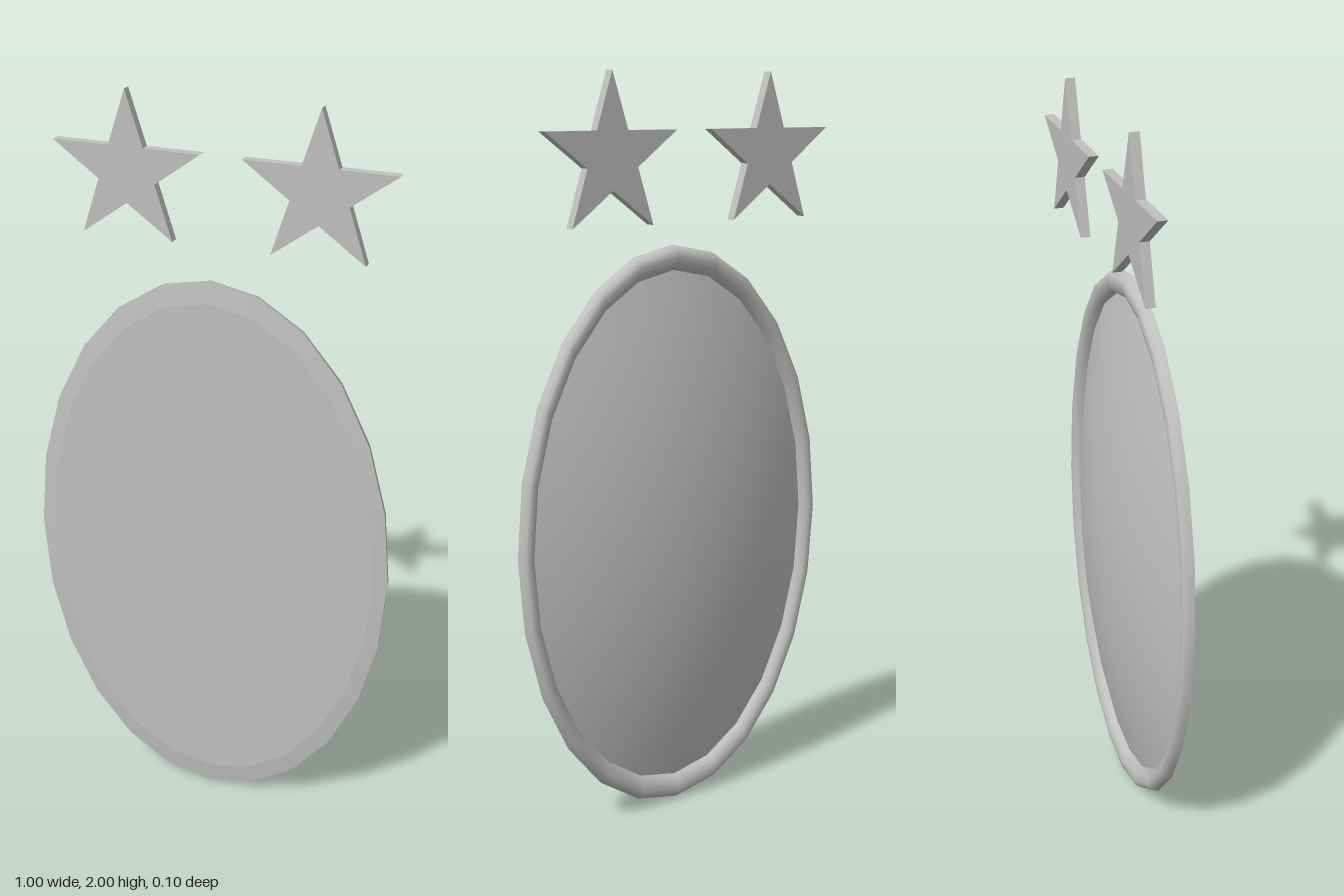
import * as THREE from 'three';

const SIDES = 24;
const CENTRE_Y = 0.78;
const STRETCH = 0.775 / 0.5;

export function createModel() {
  const model = new THREE.Group();
  const grey = new THREE.MeshStandardMaterial({ color: 0xc0c0c0 });
  grey.name = 'plain grey';

  const add = (name, geometry) => {
    const mesh = new THREE.Mesh(geometry, grey);
    mesh.name = name;
    model.add(mesh);
    return mesh;
  };

  // Oval turned part; profile is [radius, z], running from the front to the back
  const oval = (name, profile) => {
    const points = profile.map(([r, z]) => new THREE.Vector2(r, -z));
    const geometry = new THREE.LatheGeometry(points, SIDES);
    geometry.rotateX(-Math.PI / 2);
    geometry.scale(1, STRETCH, 1);
    geometry.translate(0, CENTRE_Y, 0);
    return add(name, geometry);
  };

  // Flat front face and its shallow bevel
  oval('frontFace', [[0, 0.052], [0.462, 0.052]]);
  oval('frontBevel', [[0.462, 0.052], [0.5, 0.045]]);

  // Rounded rim, rolling over into the groove around the dome
  oval('rim', [[0.5, 0.045], [0.498, 0.03], [0.492, 0.018], [0.482, 0.014],
    [0.47, 0.018], [0.461, 0.028], [0.457, 0.041]]);

  // Shallow dome on the back
  const dome = [];
  for (let i = 8; i >= 0; i--) {
    const r = 0.457 * i / 8;
    dome.push([r, -0.05 + 0.435 * r * r]);
  }
  oval('backDome', dome);

  // Two five-pointed stars above the oval
  const star = new THREE.Shape();
  for (let i = 0; i < 10; i++) {
    const r = i % 2 ? 0.081 : 0.211;
    const a = Math.PI / 2 + i * Math.PI / 5;
    star[i ? 'lineTo' : 'moveTo'](r * Math.cos(a), r * Math.sin(a));
  }
  star.closePath();
  const starGeometry = new THREE.ExtrudeGeometry(star, { depth: 0.026, bevelEnabled: false });
  for (const [name, x] of [['rightStar', -0.252], ['leftStar', 0.26]]) {
    add(name, starGeometry).position.set(x, 1.789, -0.052);
  }

  return model;
}
